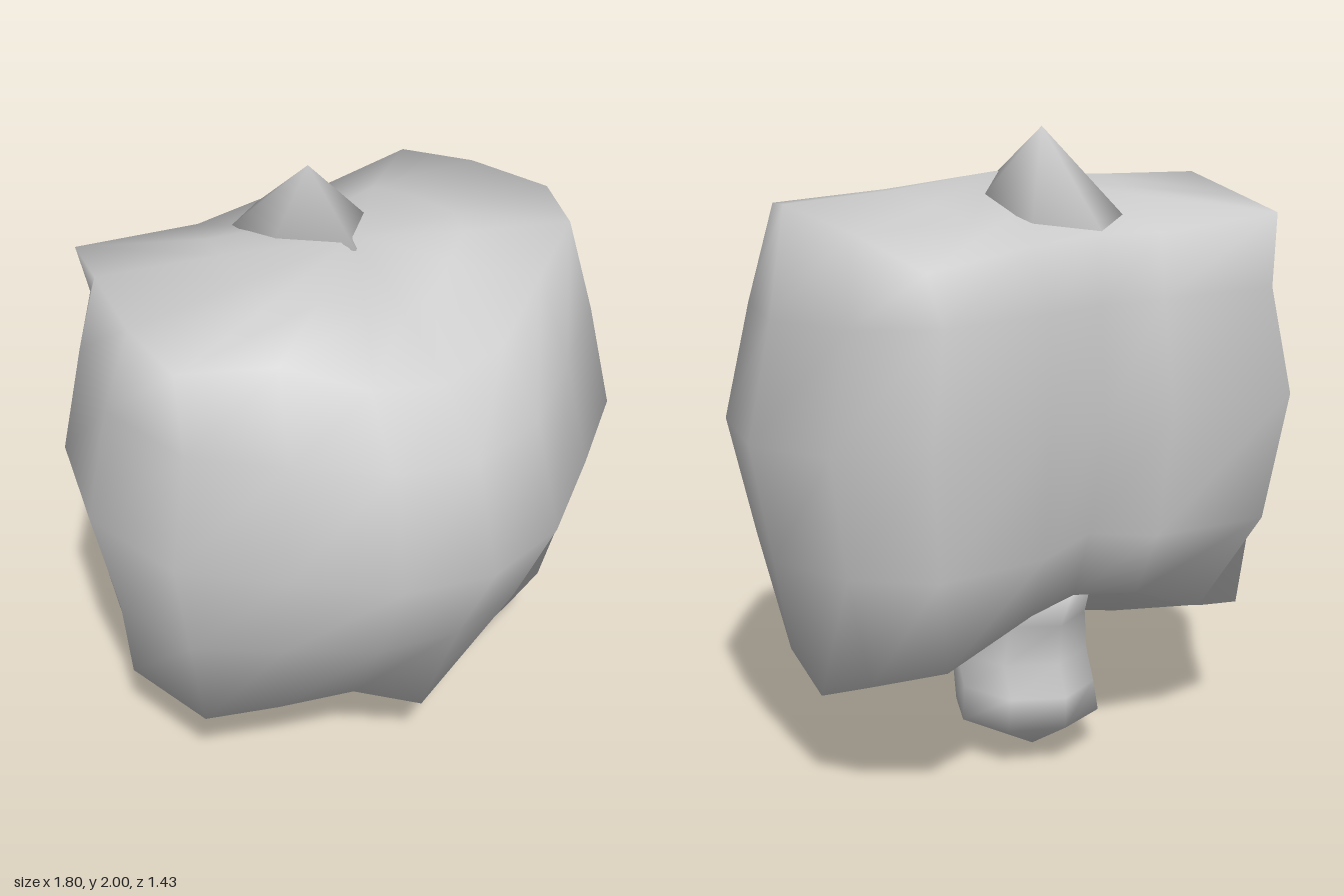
import * as THREE from 'three';

const material = new THREE.MeshStandardMaterial({ color: 0xcccccc, side: THREE.DoubleSide });

// Skin closed rings of [x, y, z], listed bottom to top, with a point closing each end.
function loft(name, rings, bottom, top) {
  const n = rings[0].length;
  const points = [...rings.flat(), bottom, top];
  const index = [];
  const b = rings.length * n, t = b + 1, last = (rings.length - 1) * n;
  for (let j = 0; j < n; j++) {
    const k = (j + 1) % n;
    for (let i = 0; i < rings.length - 1; i++) {
      const r = i * n, s = r + n;
      index.push(r + j, s + j, r + k, r + k, s + j, s + k);
    }
    index.push(b, j, k, last + j, t, last + k);
  }
  const geometry = new THREE.BufferGeometry();
  geometry.setAttribute('position', new THREE.Float32BufferAttribute(points.flat(), 3));
  geometry.setIndex(index);
  geometry.computeVertexNormals();
  const mesh = new THREE.Mesh(geometry, material);
  mesh.name = name;
  return mesh;
}

// Half outline at the widest level, from the back groove round to the front.
const half = [
  [0, -0.64], [0.22, -0.68], [0.63, -0.72], [0.81, -0.46], [0.9, -0.12],
  [0.81, 0.24], [0.55, 0.45], [0.28, 0.65], [0, 0.715],
];
const outline = [...half, ...half.slice(1, -1).reverse().map(([x, z]) => [-x, z])];

// One level of the body: widths, depths and the heights at back, side and front.
function bodyRing({ w, back, front, y }) {
  return outline.map(([x, z]) => {
    const t = z < 0 ? z / 0.72 : z / 0.715;
    const end = z < 0 ? y[0] : y[2];
    return [x * w, y[1] + (end - y[1]) * t * t, z * (z < 0 ? back : front)];
  });
}

// Place a point and its mirror image on a ring.
function setPair(ring, i, [x, y, z]) {
  ring[i] = [x, y, z];
  ring[16 - i] = [-x, y, z];
}

function makeBody() {
  const levels = [
    { w: 0.83, back: 0.84, front: 0.47, y: [0.5, 0.36, 0.42] },
    { w: 0.92, back: 0.92, front: 0.76, y: [0.8, 0.75, 0.72] },
    { w: 1.0, back: 0.99, front: 1.0, y: [1.2, 1.12, 1.06] },
    { w: 0.91, back: 0.94, front: 0.86, y: [1.53, 1.48, 1.41] },
    { w: 0.83, back: 0.97, front: 0.63, y: [1.71, 1.8, 1.59] },
  ];
  const rings = levels.map(bodyRing);
  const [rim, lower, , , brow] = rings;
  // pointed front lip, low side corners, notch at the back where the knob joins
  rim[8] = [0, 0.28, 0.36];
  rim[0] = [0, 0.6, -0.48];
  setPair(rim, 1, [0.19, 0.59, -0.54]);
  setPair(rim, 3, [0.68, 0.43, -0.43]);
  setPair(rim, 4, [0.745, 0.35, -0.24]);
  rim[14] = [-0.47, 0.48, -0.5];
  lower[0] = [0, 0.82, -0.56];
  // shoulders and back edge of the crown, set further forward on the right
  brow[0] = [0, 1.725, -0.59];
  setPair(brow, 1, [0.23, 1.71, -0.58]);
  setPair(brow, 3, [0.69, 1.76, -0.38]);
  setPair(brow, 4, [0.73, 1.8, -0.04]);
  brow[2] = [0.63, 1.69, -0.69];
  brow[14] = [-0.64, 1.74, -0.61];
  brow[12] = [-0.77, 1.79, -0.02];
  brow[11] = [-0.73, 1.72, 0.16];
  // shallow underside and gently domed top
  const under = rim.map(([x, y, z]) => [x * 0.5, y + 0.03, -0.12 + (z + 0.12) * 0.5]);
  under[8] = [0, 0.3, 0.12];
  const crown = brow.map(([x, y, z]) => [x * 0.5, 1.83 + (y - 1.83) * 0.5, -0.05 + (z + 0.05) * 0.55]);
  return loft('body', [under, ...rings, crown], [0, 0.45, -0.15], [0, 1.845, -0.03]);
}

// Knob hanging below the body: [height, half width, back z, front z]
function makeKnob() {
  const rings = [
    [0.14, 0.24, -0.43, 0.02], [0.24, 0.22, -0.43, 0.07],
    [0.34, 0.22, -0.39, 0.12], [0.47, 0.2, -0.4, 0.12], [0.62, 0.18, -0.47, 0.08],
  ].map(([y, w, back, front]) => Array.from({ length: 8 }, (_, j) => {
    const a = (j / 8) * Math.PI * 2;
    return [w * Math.sin(a) - 0.01, y, (back + front) / 2 - Math.cos(a) * (front - back) / 2];
  }));
  return loft('knob', rings, [-0.03, 0, -0.21], [0, 0.63, -0.2]);
}

// Broad six-sided point that runs into the crown
function makePeak() {
  const base = [
    [-0.02, 1.73, -0.57], [0.14, 1.75, -0.45], [0.16, 1.79, -0.2],
    [-0.03, 1.83, 0.02], [-0.19, 1.79, -0.2], [-0.18, 1.75, -0.45],
  ];
  return loft('peak', [base], [-0.03, 1.7, -0.28], [-0.03, 2, -0.24]);
}

export function createModel() {
  const model = new THREE.Group();
  model.name = 'model';
  model.add(makeBody(), makeKnob(), makePeak());
  return model;
}
